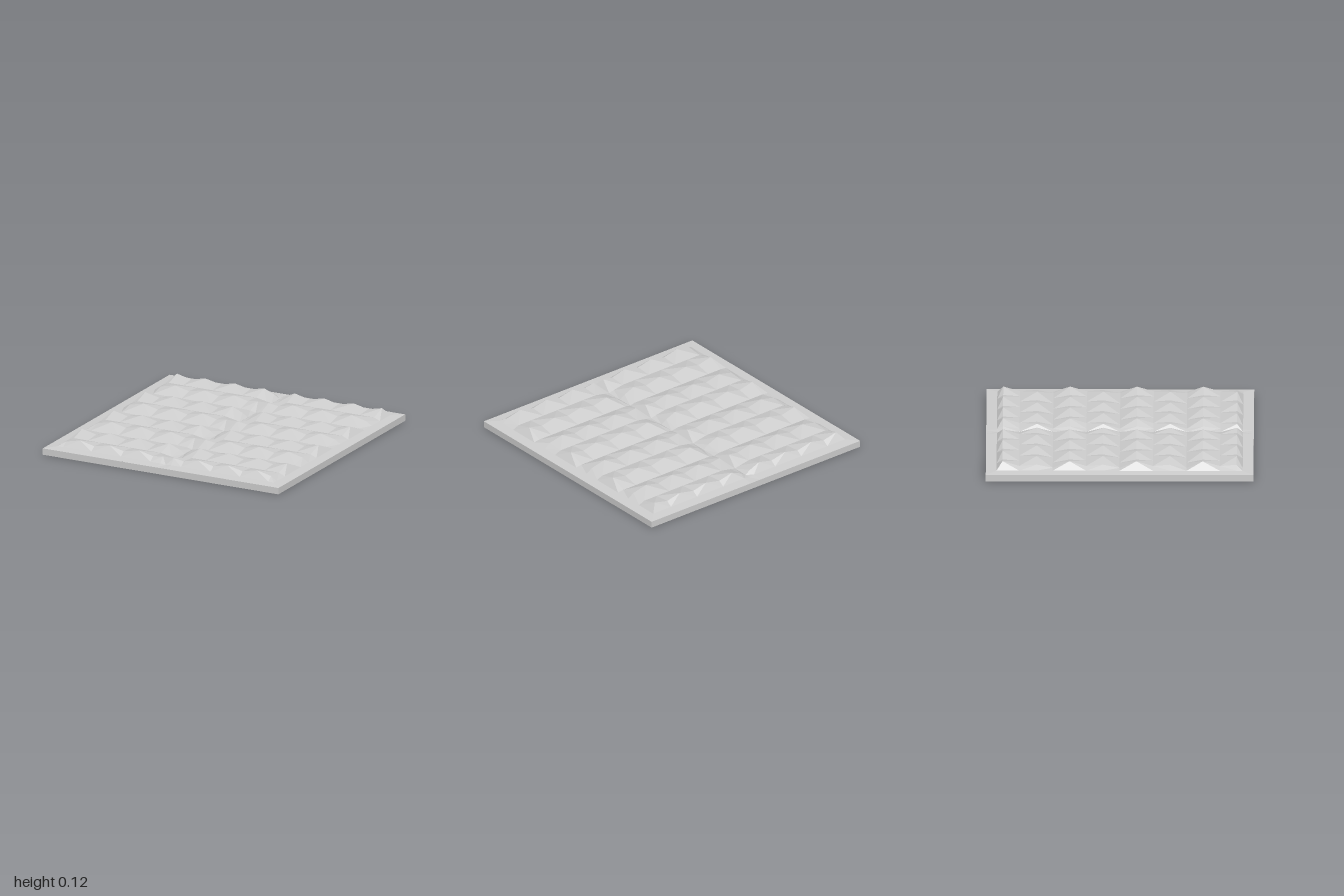
import * as THREE from 'three';

// Grid lines: outer rim, edge of the beds, then every eighth of a unit
const HALF = [0.045, 0.13, 0.25, 0.38, 0.5, 0.63, 0.75, 0.87, 0.92, 1];
const XS = [...HALF.map(x => -x).reverse(), 0, ...HALF];
const HALF_Z = [0.125, 0.25, 0.375, 0.5, 0.62, 0.75, 0.875, 0.92, 1];
const ZS = [...HALF_Z.map(z => -z).reverse(), 0, ...HALF_Z];
const XC = HALF.length, ZC = HALF_Z.length;
const RIM = 0.052, FOOT = 0.057, VALLEY = 0.078, DIP = 0.088, PEAK = 0.115;

// Ridges run along x; their peaks are staggered from one ridge to the next
const isRidge = j => Math.abs(j - ZC) % 2 === 1 && Math.abs(j - ZC) <= 7;
const isEvenRidge = j => ((j - ZC + 7) / 2) % 2 === 1;
function isPeak(i, j) {
  const k = Math.abs(i - XC);
  if (!isRidge(j) || k < 1 || k > 8) return false;
  return isEvenRidge(j) ? k % 2 === 1 && k < 8 : k % 2 === 0;
}

function height(i, j) {
  const k = Math.abs(i - XC), m = Math.abs(j - ZC);
  if (k === 10 || m === 9) return 0.05;
  if (k === 0) return RIM;
  if (k === 9 || m === 8) return FOOT;
  if (isRidge(j)) {
    if (k === 1) return isEvenRidge(j) ? 0.1 : 0.08;
    return isPeak(i, j) ? PEAK : DIP;
  }
  if (k === 1) return 0.062;
  return m % 4 === 0 ? 0.063 : VALLEY;
}

// Faceted beds, each cell split along the crease that leaves a peak
function bedsGeometry() {
  const pos = [];
  const node = (i, j) => [XS[i], height(i, j), ZS[j]];
  const tri = (a, b, c) => pos.push(...a, ...b, ...c);
  for (let i = 0; i < XS.length - 1; i++) {
    for (let j = 0; j < ZS.length - 1; j++) {
      const a = node(i, j), b = node(i, j + 1), c = node(i + 1, j + 1), d = node(i + 1, j);
      const corner = (i < XC) === (j < ZC);
      const other = isPeak(i, j + 1) || isPeak(i + 1, j);
      const main = isPeak(i, j) || isPeak(i + 1, j + 1);
      if (main || (!other && corner)) {
        tri(a, b, c);
        tri(a, c, d);
      } else {
        tri(a, b, d);
        tri(b, c, d);
      }
    }
  }
  const geo = new THREE.BufferGeometry();
  geo.setAttribute('position', new THREE.Float32BufferAttribute(pos, 3));
  geo.computeVertexNormals();
  return geo;
}

// Slab: four sides and the underside
function slabGeometry() {
  const geo = new THREE.BoxGeometry(2, 0.05, 2);
  geo.translate(0, 0.025, 0);
  // leave out the top face, which the beds cover
  const index = Array.from(geo.index.array);
  index.splice(12, 6);
  geo.setIndex(index);
  geo.clearGroups();
  return geo;
}

export function createModel() {
  const group = new THREE.Group();
  group.name = 'ridgedFieldTile';
  const soil = new THREE.MeshStandardMaterial({ color: 0xcccccc, flatShading: true });
  soil.name = 'paleGrey';

  const slab = new THREE.Mesh(slabGeometry(), soil);
  slab.name = 'slab';
  const beds = new THREE.Mesh(bedsGeometry(), soil);
  beds.name = 'ridgedBeds';
  group.add(slab, beds);
  return group;
}
